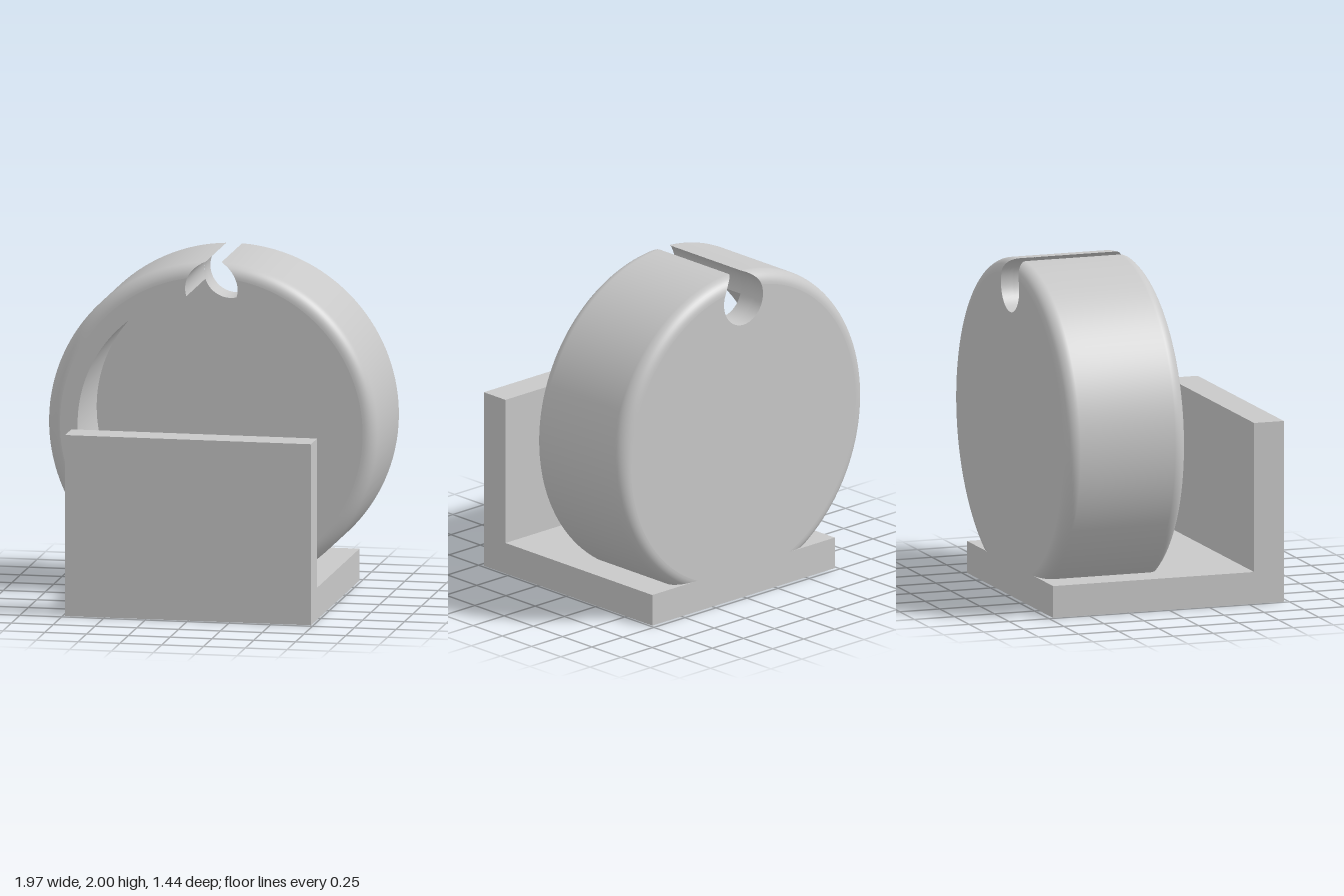
import * as THREE from 'three';

const CY = 1.016;              // centre height of the round cup
const R = 0.985, RI = 0.8;     // outer and inner radius
const FILLET = 0.08;
const HOLE = 0.157, D = 0.834; // cable hole radius, and its height above the cup centre
const BACK = -0.72, FLOOR = -0.535, FRONT = 0.03;
const lerp = THREE.MathUtils.lerp;

// Points by clockwise angle from straight up
const onCup = (r, t) => [r * Math.sin(t), CY + r * Math.cos(t)];
const onHole = (t) => [HOLE * Math.sin(t), CY + D + HOLE * Math.cos(t)];

// Angles where a circle of radius r meets the hole: a about the cup, b about the hole
function meet(r) {
  const a = Math.acos((r * r + D * D - HOLE * HOLE) / (2 * r * D));
  return { a, b: Math.atan2(r * Math.sin(a), r * Math.cos(a) - D) };
}

const arc = (fn, from, to, n) =>
  Array.from({ length: n + 1 }, (_, i) => fn(lerp(from, to, i / n)));

// Smooth surface through rows of points
function loft(rows) {
  const n = rows[0].length, index = [];
  for (let j = 0; j < rows.length - 1; j++) {
    for (let i = 0; i < n - 1; i++) {
      const p = j * n + i, q = p + n;
      index.push(p, p + 1, q, p + 1, q + 1, q);
    }
  }
  const g = new THREE.BufferGeometry();
  g.setAttribute('position', new THREE.Float32BufferAttribute(rows.flat(2), 3));
  g.setIndex(index);
  g.computeVertexNormals();
  return g;
}

const atZ = (points, z) => points.map(([x, y]) => [x, y, z]);
const flat = (points) =>
  new THREE.ShapeGeometry(new THREE.Shape(points.map(([x, y]) => new THREE.Vector2(x, y))));

// Disc outline with the hole bitten out of the top
function discOutline(r) {
  const { a, b } = meet(r);
  return [
    ...arc((t) => onCup(r, t), a, 2 * Math.PI - a, 128),
    ...arc(onHole, 2 * Math.PI - b, b, 40).slice(1, -1),
  ];
}

// Ring outline, open where the hole cuts through the rim
function rimOutline(ro, ri) {
  const o = meet(ro), i = meet(ri);
  return [
    ...arc((t) => onCup(ro, t), o.a, 2 * Math.PI - o.a, 128),
    ...arc(onHole, -o.b, -i.b, 16).slice(1),
    ...arc((t) => onCup(ri, t), 2 * Math.PI - i.a, i.a, 128).slice(1),
    ...arc(onHole, i.b, o.b, 16).slice(1, -1),
  ];
}

export function createModel() {
  const model = new THREE.Group();
  const grey = new THREE.MeshStandardMaterial({ color: 0xc8c8c8 });
  grey.name = 'plain grey';
  const add = (parent, name, geometry) => {
    const mesh = new THREE.Mesh(geometry, grey);
    mesh.name = name;
    parent.add(mesh);
    return mesh;
  };

  // L-shaped stand: base plate and upright front panel
  const profile = [[-0.72, 0], [0.72, 0], [0.72, 0.19], [-0.535, 0.19], [-0.535, 1.08], [-0.72, 1.08]];
  const stand = new THREE.ExtrudeGeometry(
    new THREE.Shape(profile.map(([x, y]) => new THREE.Vector2(x, y))),
    { depth: 1.47, bevelEnabled: false });
  stand.translate(0, 0, -0.735).rotateY(Math.PI / 2);
  add(model, 'stand', stand);

  // Stations along the cup from back to front, with rounded ends
  const stations = [];
  const N = 10;
  for (let i = 0; i <= N; i++) {
    const t = (i / N) * Math.PI / 2;
    stations.push({ z: BACK + FILLET * (1 - Math.cos(t)), r: R - FILLET * (1 - Math.sin(t)) });
  }
  const frontEnd = stations.map(({ z, r }) => ({ z: FRONT + BACK - z, r })).reverse();
  stations.push({ z: FLOOR, r: R }, ...frontEnd);

  const cup = new THREE.Group();
  cup.name = 'cup';
  model.add(cup);

  // Outer wall
  add(cup, 'outerWall', loft([...stations].reverse().map(({ z, r }) => {
    const { a } = meet(r);
    return atZ(arc((t) => onCup(r, t), a, 2 * Math.PI - a, 128), z);
  })));

  // Inner wall
  const inner = meet(RI);
  add(cup, 'innerWall', loft([FLOOR, FRONT].map((z) =>
    atZ(arc((t) => onCup(RI, t), inner.a, 2 * Math.PI - inner.a, 128), z))));

  // Flat faces
  add(cup, 'backFace', flat(discOutline(R - FILLET)).rotateY(Math.PI).translate(0, 0, BACK));
  add(cup, 'cupFloor', flat(discOutline(RI)).translate(0, 0, FLOOR));
  add(cup, 'frontRim', flat(rimOutline(R - FILLET, RI)).translate(0, 0, FRONT));

  // Cable hole: full wall through the floor, two side walls through the rim
  add(cup, 'cableHole', loft(stations.filter((s) => s.z <= FLOOR).map(({ z, r }) => {
    const { b } = meet(r);
    return atZ(arc(onHole, b, 2 * Math.PI - b, 40), z);
  })));
  const rim = stations.filter((s) => s.z >= FLOOR);
  add(cup, 'leftSlotWall', loft(rim.map(({ z, r }) =>
    atZ(arc(onHole, meet(r).b, inner.b, 16), z))));
  add(cup, 'rightSlotWall', loft(rim.map(({ z, r }) =>
    atZ(arc(onHole, -inner.b, -meet(r).b, 16), z))));

  return model;
}
